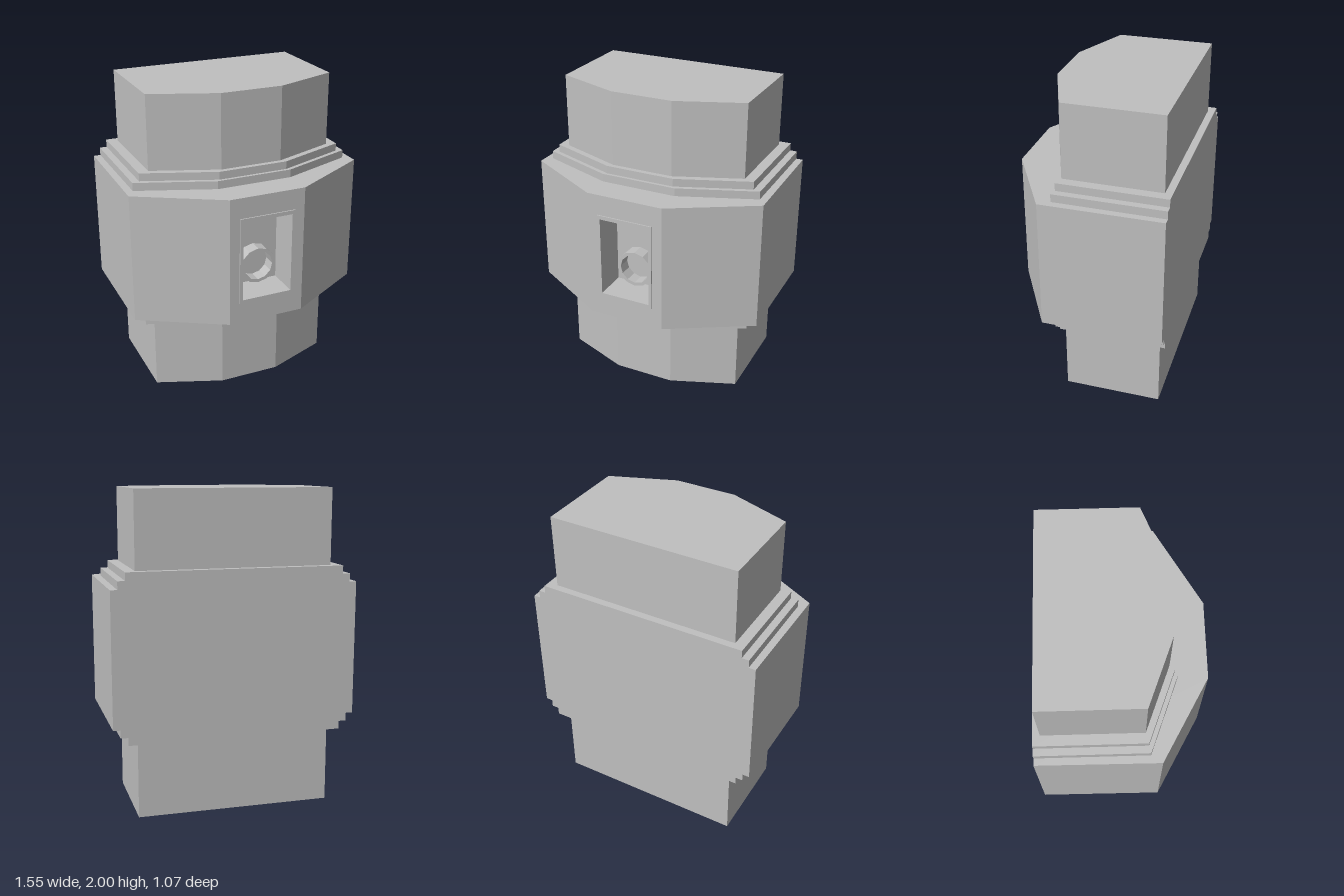
import * as THREE from 'three';

const grey = new THREE.MeshStandardMaterial({ color: 0xc0c0c0 });
grey.name = 'plain grey';

// Half plan of each prism: back z, side x at the back, side x, shoulder z, nose x, nose z
const neckPlan = { back: -0.49, backX: 0.613, sideX: 0.613, sideZ: 0.13, noseX: 0.2, noseZ: 0.288 };
const innerStepPlan = { back: -0.536, backX: 0.678, sideX: 0.678, sideZ: 0.148, noseX: 0.225, noseZ: 0.32 };
const outerStepPlan = { back: -0.536, backX: 0.724, sideX: 0.724, sideZ: 0.16, noseX: 0.245, noseZ: 0.34 };
const bodyPlan = { back: -0.536, backX: 0.768, sideX: 0.773, sideZ: 0.23, noseX: 0.25, noseZ: 0.528 };

const pocket = { halfW: 0.165, bottom: 0.74, top: 1.265, z: 0.32 };

// Upright prism from a mirrored plan, optionally notched at the nose
function prism(name, p, y0, y1, notch) {
  const half = [[p.backX, p.back], [p.sideX, p.sideZ], [p.noseX, p.noseZ]];
  if (notch) half.push([notch.halfW, p.noseZ], [notch.halfW, notch.z]);
  const outline = [...half, ...half.map(([x, z]) => [-x, z]).reverse()];
  const shape = new THREE.Shape(outline.map(([x, z]) => new THREE.Vector2(x, -z)));
  const geo = new THREE.ExtrudeGeometry(shape, { depth: y1 - y0, bevelEnabled: false });
  geo.rotateX(-Math.PI / 2).translate(0, y0, 0);
  const mesh = new THREE.Mesh(geo, grey);
  mesh.name = name;
  return mesh;
}

// Flat loop with a hole, extruded towards the front
function ring(name, outer, inner, z0, z1) {
  const shape = new THREE.Shape(outer);
  shape.holes.push(new THREE.Path(inner));
  const geo = new THREE.ExtrudeGeometry(shape, { depth: z1 - z0, bevelEnabled: false });
  geo.translate(0, 0, z0);
  const mesh = new THREE.Mesh(geo, grey);
  mesh.name = name;
  return mesh;
}

const rect = (w, y0, y1) =>
  [[-w, y0], [w, y0], [w, y1], [-w, y1]].map(([x, y]) => new THREE.Vector2(x, y));

const circle = (r, cy, n) => Array.from({ length: n }, (_, i) => {
  const a = (i / n) * Math.PI * 2;
  return new THREE.Vector2(r * Math.cos(a), cy + r * Math.sin(a));
});

export function createModel() {
  const g = new THREE.Group();
  g.name = 'steppedHousing';

  // Necks and stepped collars above and below the body
  g.add(
    prism('lowerNeck', neckPlan, 0, 0.48),
    prism('lowerInnerStep', innerStepPlan, 0.48, 0.53),
    prism('lowerOuterStep', outerStepPlan, 0.53, 0.58),
    prism('upperOuterStep', outerStepPlan, 1.424, 1.475),
    prism('upperInnerStep', innerStepPlan, 1.475, 1.525),
    prism('upperNeck', neckPlan, 1.525, 2),
  );

  // Body in three layers, the middle one holding the front pocket
  g.add(
    prism('bodyBottom', bodyPlan, 0.58, pocket.bottom),
    prism('bodyMiddle', bodyPlan, pocket.bottom, pocket.top, pocket),
    prism('bodyTop', bodyPlan, pocket.top, 1.424),
  );

  // Thin frame round the pocket and the round socket inside it
  g.add(
    ring('pocketFrame', rect(0.185, 0.716, 1.29), rect(pocket.halfW, pocket.bottom, pocket.top), 0.528, 0.536),
    ring('socketRing', circle(0.12, 0.887, 12), circle(0.098, 0.887, 12), pocket.z, 0.405),
  );
  return g;
}
